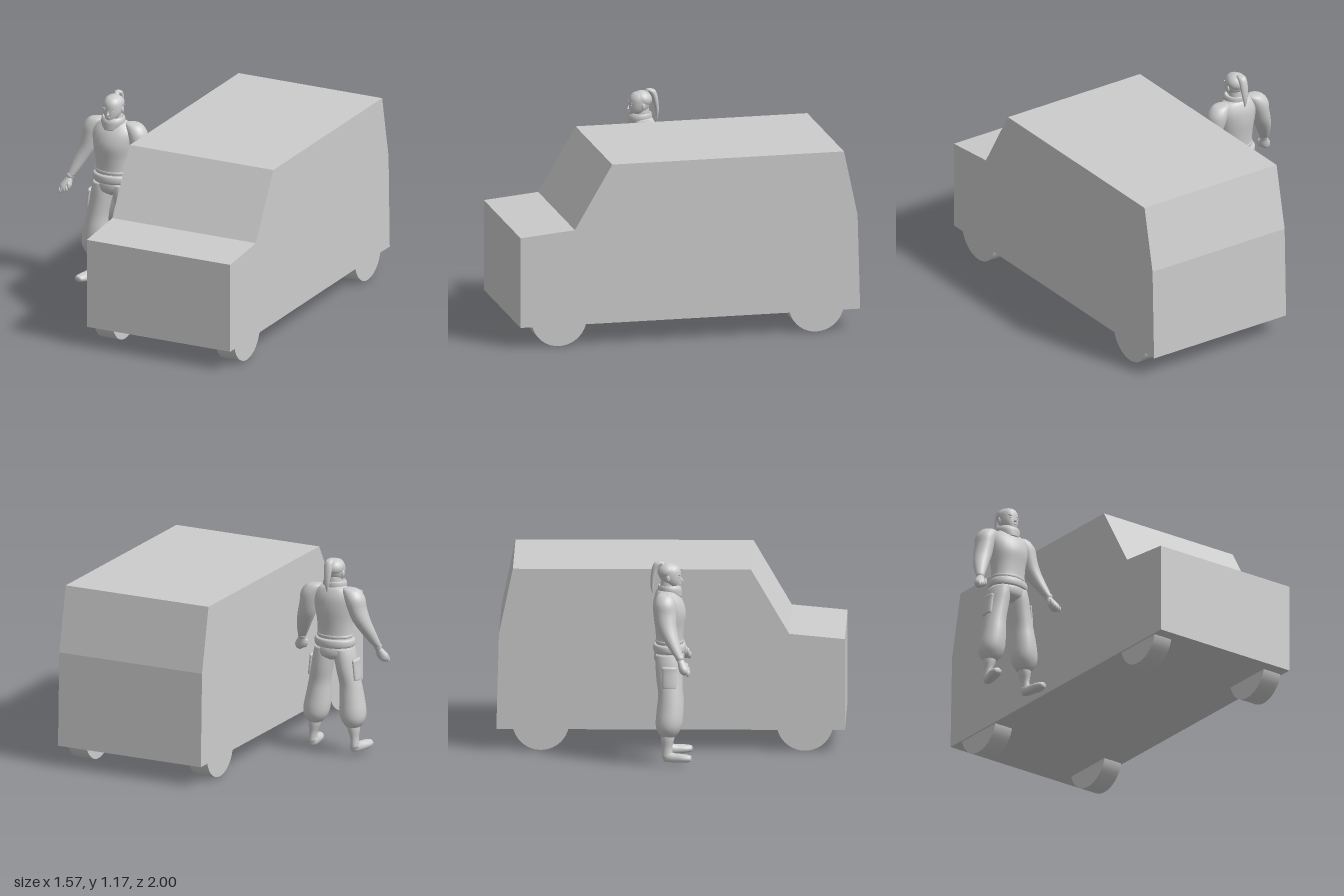
import * as THREE from 'three';

const grey = new THREE.MeshStandardMaterial({ color: 0xcccccc });
grey.name = 'plain grey';

function add(parent, name, geometry, x = 0, y = 0, z = 0) {
  const mesh = new THREE.Mesh(geometry, grey);
  mesh.name = name;
  mesh.position.set(x, y, z);
  parent.add(mesh);
  return mesh;
}

function ellipsoid(parent, name, x, y, z, rx, ry, rz) {
  const mesh = add(parent, name, new THREE.SphereGeometry(1, 20, 14), x, y, z);
  mesh.scale.set(rx, ry, rz);
  return mesh;
}

// Smooth closed loft through level oval rings [x, y, z, rx, rz], listed top to bottom
function loft(rings, side = 1, sub = 4, n = 24) {
  const centre = new THREE.CatmullRomCurve3(rings.map(r => new THREE.Vector3(r[0] * side, r[1], r[2])));
  const radii = new THREE.CatmullRomCurve3(rings.map(r => new THREE.Vector3(r[3], r[4], 0)));
  centre.curveType = radii.curveType = 'catmullrom';
  const rows = (rings.length - 1) * sub, pos = [], idx = [];
  for (let i = 0; i <= rows; i++) {
    const c = centre.getPoint(i / rows), r = radii.getPoint(i / rows);
    for (let j = 0; j < n; j++) {
      const a = j / n * Math.PI * 2;
      pos.push(c.x + Math.max(r.x, 0.001) * Math.sin(a), c.y, c.z + Math.max(r.y, 0.001) * Math.cos(a));
    }
  }
  for (let i = 0; i < rows; i++) for (let j = 0; j < n; j++) {
    const a = i * n + j, b = i * n + (j + 1) % n;
    idx.push(a, a + n, b, b, a + n, b + n);
  }
  // End caps
  const first = rings[0], last = rings[rings.length - 1], k = pos.length / 3;
  pos.push(first[0] * side, first[1], first[2], last[0] * side, last[1], last[2]);
  for (let j = 0; j < n; j++) {
    const m = (j + 1) % n;
    idx.push(k, j, m, k + 1, rows * n + m, rows * n + j);
  }
  const g = new THREE.BufferGeometry();
  g.setAttribute('position', new THREE.Float32BufferAttribute(pos, 3));
  g.setIndex(idx);
  g.computeVertexNormals();
  return g;
}

function buildVan() {
  const van = new THREE.Group();
  van.name = 'van';
  // Side profile as [z, y], extruded across the width
  const profile = [[1, 0.125], [1, 0.655], [0.68, 0.685], [0.46, 1.06], [-0.905, 1.06], [-0.985, 0.68], [-1, 0.125]];
  const shape = new THREE.Shape(profile.map(([z, y]) => new THREE.Vector2(-z, y)));
  const body = new THREE.ExtrudeGeometry(shape, { depth: 0.925, bevelEnabled: false });
  body.rotateY(Math.PI / 2);
  add(van, 'vanBody', body, -0.14, 0, 0);
  // Wheels
  for (const x of [-0.07, 0.715]) for (const z of [0.77, -0.745]) {
    const wheel = new THREE.CylinderGeometry(0.163, 0.163, 0.12, 40);
    wheel.rotateZ(Math.PI / 2);
    add(van, 'wheel', wheel, x, 0.165, z);
  }
  return van;
}

function buildHead(man) {
  add(man, 'head', loft([
    [0, 1.157, -0.005, 0.012, 0.015], [0, 1.148, -0.003, 0.038, 0.045], [0, 1.12, 0, 0.055, 0.062],
    [0, 1.08, 0.003, 0.056, 0.062], [0, 1.05, 0.012, 0.047, 0.053], [0, 1.025, 0.025, 0.029, 0.037],
    [0, 1.016, 0.034, 0.014, 0.018]]));
  add(man, 'neck', new THREE.CylinderGeometry(0.042, 0.05, 0.1, 20), 0, 1.01, -0.01);
  // Face
  const nose = add(man, 'nose', new THREE.ConeGeometry(0.009, 0.03, 8), 0, 1.072, 0.066);
  nose.rotation.x = -0.25;
  ellipsoid(man, 'mouth', 0, 1.044, 0.062, 0.014, 0.004, 0.005);
  for (const s of [-1, 1]) {
    const brow = ellipsoid(man, 'brow', s * 0.023, 1.094, 0.057, 0.017, 0.004, 0.006);
    brow.rotation.z = s * 0.25;
    ellipsoid(man, 'eye', s * 0.022, 1.082, 0.056, 0.011, 0.004, 0.005);
    ellipsoid(man, 'ear', s * 0.056, 1.078, -0.008, 0.007, 0.019, 0.011);
  }
  // Swept-back hair and ponytail
  const hair = ellipsoid(man, 'hair', 0, 1.112, -0.012, 0.059, 0.05, 0.058);
  hair.rotation.x = -0.2;
  add(man, 'hairTie', new THREE.CylinderGeometry(0.016, 0.018, 0.026, 16), 0, 1.153, -0.045).rotation.x = -0.7;
  add(man, 'ponytail', loft([
    [0, 1.172, -0.05, 0.008, 0.009], [0, 1.162, -0.062, 0.024, 0.026], [0, 1.13, -0.082, 0.025, 0.02],
    [0, 1.08, -0.094, 0.022, 0.015], [0, 1.03, -0.1, 0.014, 0.01], [0, 0.985, -0.098, 0.003, 0.003]]));
}

function buildMan() {
  const man = new THREE.Group();
  man.name = 'standingMan';
  man.position.x = -0.484;
  buildHead(man);
  // Rolled collar
  add(man, 'collar', loft([
    [0, 1.03, -0.005, 0.05, 0.048], [0, 1.034, -0.005, 0.064, 0.06], [0, 1.015, 0, 0.07, 0.068],
    [0, 0.99, 0.002, 0.066, 0.068], [0, 0.965, 0.004, 0.055, 0.066]]));
  // Sweater
  add(man, 'torso', loft([
    [0, 1.01, -0.015, 0.055, 0.045], [0, 0.99, -0.015, 0.1, 0.062], [0, 0.94, -0.008, 0.128, 0.085],
    [0, 0.87, 0, 0.122, 0.094], [0, 0.79, 0, 0.108, 0.084], [0, 0.72, 0, 0.105, 0.078], [0, 0.66, 0, 0.11, 0.082]]));
  const hem = add(man, 'sweaterHem', new THREE.TorusGeometry(1, 0.06, 8, 32), 0, 0.708, 0);
  hem.rotation.x = Math.PI / 2;
  hem.scale.set(0.103, 0.077, 0.16);
  add(man, 'belt', loft([
    [0, 0.694, 0, 0.105, 0.08], [0, 0.688, 0, 0.12, 0.092], [0, 0.668, 0, 0.124, 0.095],
    [0, 0.65, 0, 0.12, 0.092], [0, 0.643, 0, 0.108, 0.085]]));
  // Hips
  add(man, 'hips', loft([
    [0, 0.655, 0, 0.11, 0.082], [0, 0.625, -0.002, 0.117, 0.088], [0, 0.59, -0.004, 0.1, 0.08], [0, 0.565, -0.004, 0.03, 0.045]]));

  for (const s of [-1, 1]) {
    const side = new THREE.Group();
    side.name = s > 0 ? 'leftLimbs' : 'rightLimbs';
    man.add(side);
    // Sleeve with full shoulder
    add(side, 'sleeve', loft([
      [0.105, 1.005, -0.025, 0.02, 0.02], [0.118, 0.993, -0.025, 0.05, 0.045], [0.14, 0.95, -0.025, 0.06, 0.062],
      [0.154, 0.89, -0.022, 0.055, 0.062], [0.175, 0.82, -0.012, 0.053, 0.055], [0.202, 0.755, 0.01, 0.045, 0.045],
      [0.228, 0.69, 0.04, 0.033, 0.033], [0.245, 0.648, 0.062, 0.023, 0.023]], s));
    add(side, 'cuff', new THREE.SphereGeometry(0.024, 16, 10), s * 0.245, 0.65, 0.062);
    // Closed fist
    add(side, 'hand', loft([
      [0.246, 0.645, 0.064, 0.018, 0.018], [0.255, 0.62, 0.075, 0.028, 0.024], [0.263, 0.595, 0.085, 0.036, 0.03],
      [0.27, 0.572, 0.09, 0.029, 0.028], [0.275, 0.558, 0.09, 0.01, 0.012]], s));
    for (let i = 0; i < 4; i++)
      ellipsoid(side, 'finger', s * (0.246 + i * 0.014), 0.583 - i * 0.005, 0.108, 0.009, 0.018, 0.013);
    ellipsoid(side, 'thumb', s * 0.238, 0.6, 0.1, 0.011, 0.022, 0.012);

    // Baggy trouser leg gathered under the knee
    add(side, 'trouserLeg', loft([
      [0.06, 0.64, 0, 0.055, 0.078], [0.067, 0.59, 0, 0.062, 0.08], [0.081, 0.51, 0, 0.062, 0.076],
      [0.099, 0.42, 0.005, 0.064, 0.07], [0.108, 0.34, 0.005, 0.072, 0.075], [0.116, 0.265, 0, 0.078, 0.078],
      [0.12, 0.215, -0.004, 0.07, 0.07], [0.122, 0.175, -0.006, 0.042, 0.045], [0.123, 0.168, -0.006, 0.02, 0.02]], s));
    const pocket = add(side, 'pocket', loft([
      [0, 0.066, 0, 0.008, 0.036], [0, 0.058, 0, 0.016, 0.044], [0, 0.03, 0, 0.015, 0.042],
      [0, -0.05, 0, 0.016, 0.04], [0, -0.06, 0, 0.008, 0.032]]), s * 0.143, 0.512, 0);
    pocket.rotation.z = s * 0.1;
    // Ankle and pointed shoe turned slightly out
    add(side, 'ankle', loft([
      [0.123, 0.2, -0.008, 0.038, 0.042], [0.127, 0.155, -0.01, 0.035, 0.038], [0.133, 0.105, -0.012, 0.024, 0.029],
      [0.137, 0.05, -0.01, 0.025, 0.032]], s));
    const shoe = loft([
      [0, 0.105, 0, 0.006, 0.008], [0, 0.097, 0.002, 0.025, 0.018], [0, 0.06, 0.004, 0.035, 0.026],
      [0, 0.01, 0.005, 0.03, 0.03], [0, -0.03, 0, 0.028, 0.034], [0, -0.055, -0.004, 0.022, 0.03], [0, -0.062, -0.008, 0.006, 0.01]]);
    shoe.rotateX(Math.PI / 2);
    const p = shoe.attributes.position;
    for (let i = 0; i < p.count; i++) p.setY(i, Math.max(p.getY(i), -0.024));
    shoe.computeVertexNormals();
    const foot = add(side, 'shoe', shoe, s * 0.143, 0.052, 0.025);
    foot.rotation.y = s * 0.22;
  }
  return man;
}

export function createModel() {
  const model = new THREE.Group();
  model.name = 'vanWithStandingMan';
  model.add(buildVan(), buildMan());
  return model;
}
